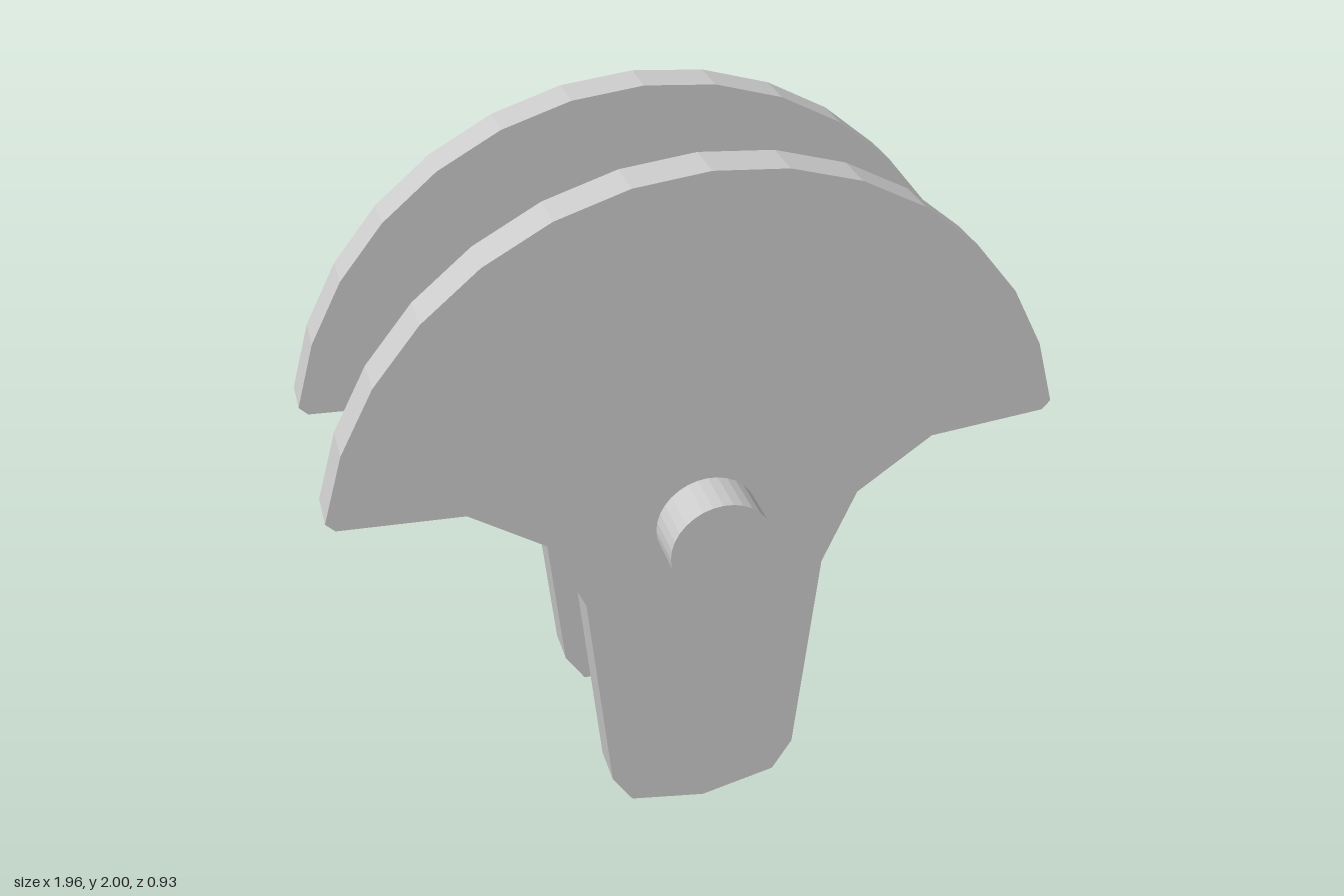
import * as THREE from 'three';

const material = new THREE.MeshStandardMaterial({ color: 0xcccccc, flatShading: true });

// Half of the plate outline: a faceted arc, then the underside and the stem
function plateShape() {
  const half = [];
  const end = Math.acos(0.2);
  for (let i = 0; i <= 7; i++) {
    const a = (end * i) / 7;
    half.push([Math.sin(a), 1 + Math.cos(a)]);
  }
  half.push([0.957, 1.175], [0.633, 1.152], [0.427, 1.01], [0.335, 0.795],
    [0.275, 0.14], [0.217, 0.045], [0, 0]);
  const mirrored = half.slice(1, -1).reverse().map(([x, y]) => [-x, y]);
  return new THREE.Shape([...half, ...mirrored].map(([x, y]) => new THREE.Vector2(x, y)));
}

// Round pin along z
function pin(name, radius, y, z, length) {
  const geometry = new THREE.CylinderGeometry(radius, radius, length, 32).rotateX(Math.PI / 2);
  const mesh = new THREE.Mesh(geometry, material);
  mesh.name = name;
  mesh.position.set(0, y, z);
  return mesh;
}

export function createModel() {
  const model = new THREE.Group();
  model.name = 'doublePlateLever';

  const inner = 0.223, outer = 0.337, tip = 0.467;
  const plate = new THREE.ExtrudeGeometry(plateShape(), { depth: outer - inner, bevelEnabled: false });
  plate.translate(0, 0, -(outer - inner) / 2);

  // Two parallel plates, each with a pivot boss on its outer face
  for (const [side, s] of [['front', 1], ['back', -1]]) {
    const mesh = new THREE.Mesh(plate, material);
    mesh.name = side + 'Plate';
    mesh.position.z = (s * (inner + outer)) / 2;
    model.add(mesh, pin(side + 'PivotBoss', 0.14, 1, (s * (outer + tip)) / 2, tip - outer));
  }

  // Cross pin joining the feet of the plates
  model.add(pin('crossPin', 0.115, 0.135, 0, inner * 2 + 0.04));
  return model;
}
